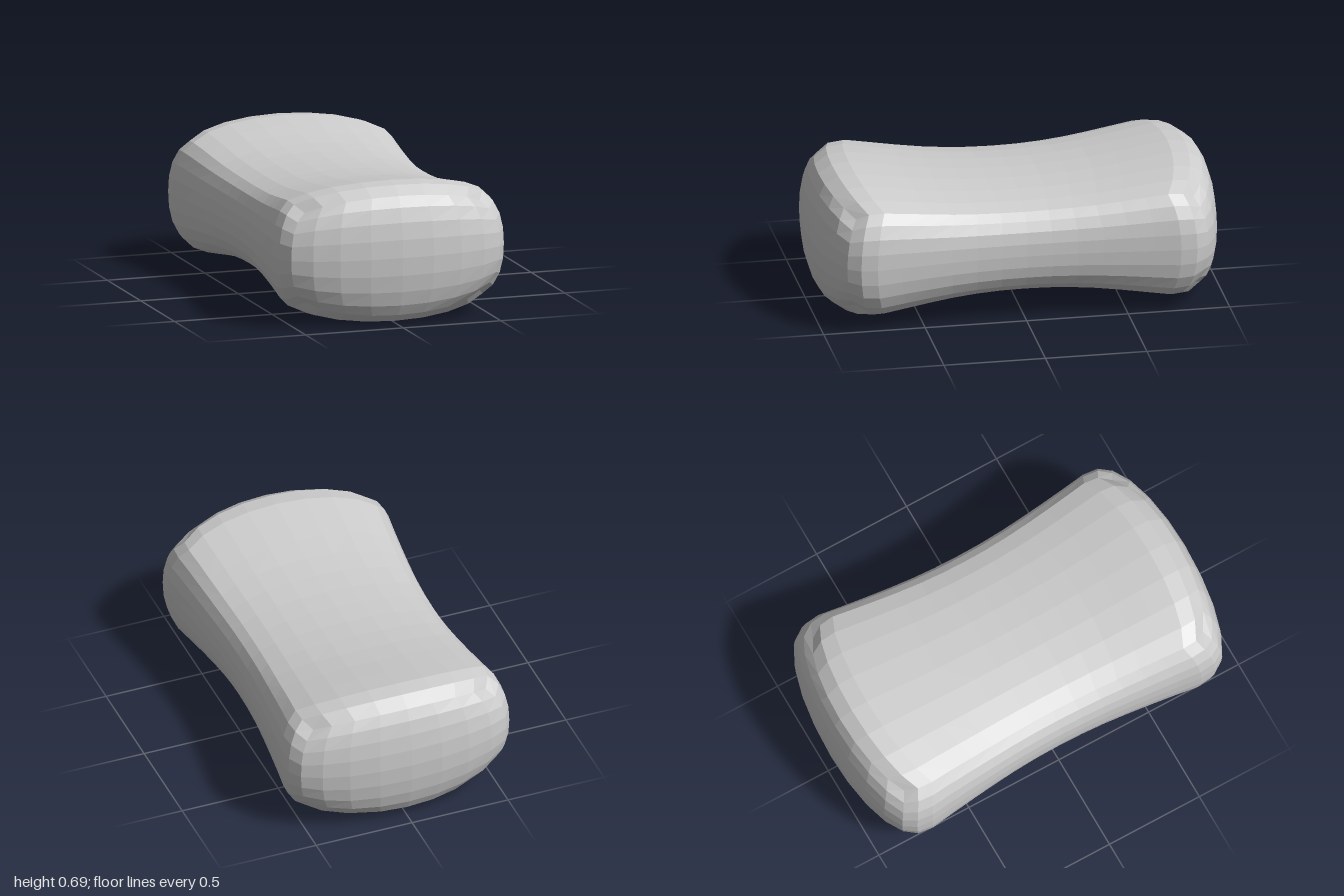
import * as THREE from 'three';

// Half width, half height and station of each ring, from the waist to the end face.
const WIDTH = [0.525, 0.527, 0.533, 0.543, 0.555, 0.568, 0.583, 0.575, 0.535];
const HEIGHT = [0.265, 0.267, 0.274, 0.286, 0.304, 0.325, 0.345, 0.337, 0.295];
const STATION = [0, 0.14, 0.28, 0.42, 0.56, 0.7, 0.84, 0.93, 1];
const CENTRE_Y = 0.345;

// Grid lines bunch up a little toward the rounded corners.
const spread = (t) => 1.22 * t - 0.22 * t ** 3;

export function createModel() {
  const group = new THREE.Group();
  group.name = 'pinchedBlock';

  // A gridded box, pinched at the waist, with every face bulged toward its middle.
  const geometry = new THREE.BoxGeometry(2, 2, 2, 8, 8, 16);
  const pos = geometry.attributes.position;
  for (let i = 0; i < pos.count; i++) {
    const a = pos.getX(i), b = pos.getY(i), c = pos.getZ(i);
    const ring = Math.round(Math.abs(c) * 8);
    const x = spread(a) * WIDTH[ring] * (1 - 0.16 * Math.abs(b) ** 2.4);
    const y = spread(b) * HEIGHT[ring] * (1 - 0.246 * a * a);
    const z = Math.sign(c) * STATION[ring] * (1 - 0.11 * a * a) * (1 - 0.065 * b * b);
    pos.setXYZ(i, x, y + CENTRE_Y, z);
  }
  geometry.computeVertexNormals();

  const body = new THREE.Mesh(
    geometry,
    new THREE.MeshStandardMaterial({ color: 0xcccccc, flatShading: true })
  );
  body.name = 'body';
  group.add(body);
  return group;
}
